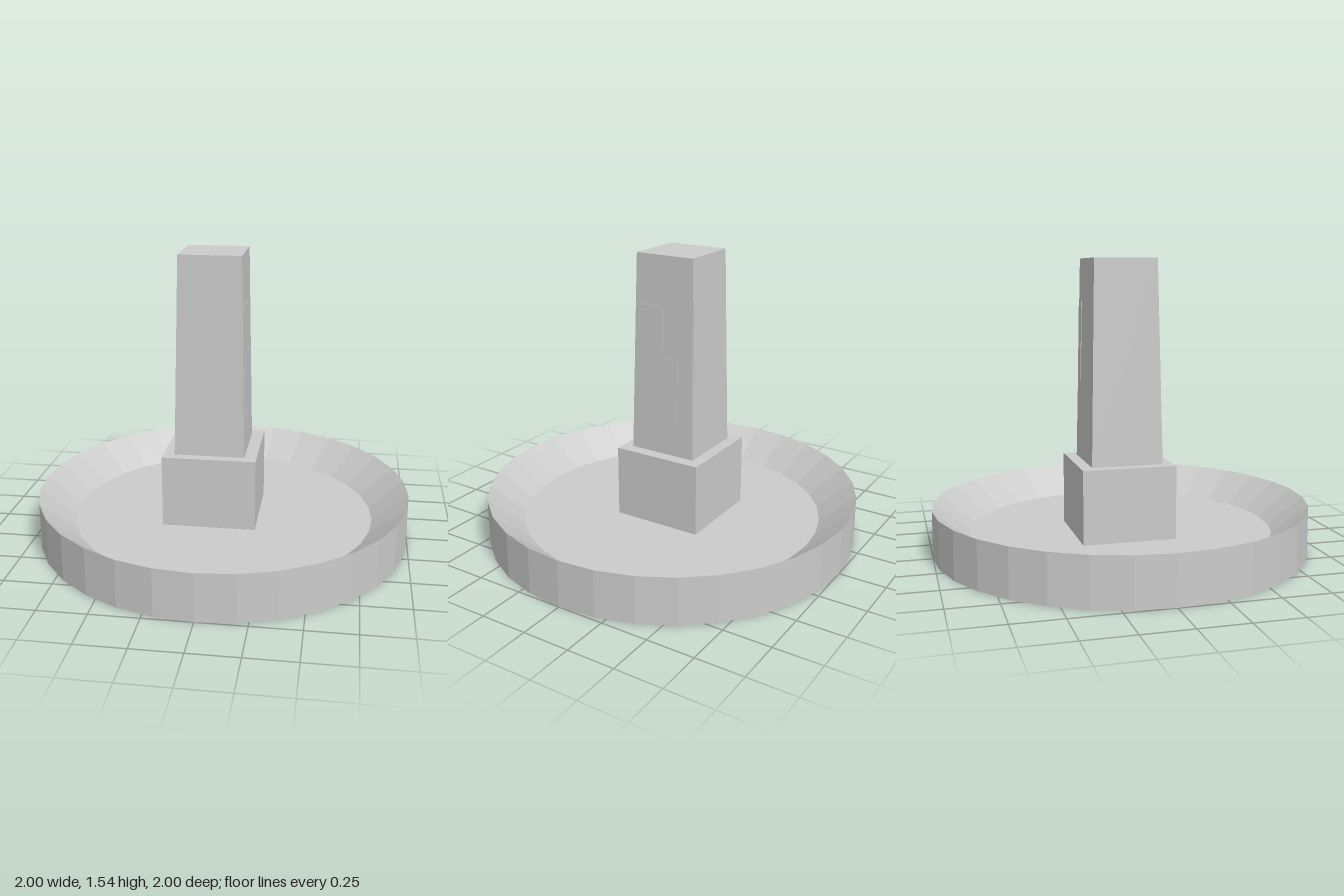
import * as THREE from 'three';

const material = new THREE.MeshStandardMaterial({ color: 0xcccccc, flatShading: true });

// Box between bounds whose top rectangle may differ from its bottom one: [x0, x1, z0, z1]
function taperedBox(name, y0, y1, bottom, top = bottom) {
  const geometry = new THREE.BoxGeometry(1, 1, 1);
  const p = geometry.attributes.position;
  for (let i = 0; i < p.count; i++) {
    const r = p.getY(i) > 0 ? top : bottom;
    p.setXYZ(i, p.getX(i) > 0 ? r[1] : r[0], p.getY(i) > 0 ? y1 : y0, p.getZ(i) > 0 ? r[3] : r[2]);
  }
  geometry.computeVertexNormals();
  const mesh = new THREE.Mesh(geometry, material);
  mesh.name = name;
  return mesh;
}

export function createModel() {
  const group = new THREE.Group();
  group.name = 'basinWithPillar';

  // Shallow round basin with a sharp rim and sloping inner wall
  const profile = [[0, 0], [1, 0], [1, 0.25], [0.81, 0.1], [0, 0.1]]
    .map(([r, y]) => new THREE.Vector2(r, y));
  const basin = new THREE.Mesh(new THREE.LatheGeometry(profile, 32), material);
  basin.name = 'basin';
  group.add(basin);

  // Square plinth and tapering pillar, slightly off centre
  group.add(taperedBox('plinth', 0.09, 0.485, [-0.3, 0.195, -0.27, 0.22]));
  const base = [-0.24, 0.13, -0.21, 0.165];
  const cap = [-0.215, 0.11, -0.19, 0.14];
  group.add(taperedBox('pillar', 0.485, 1.54, base, cap));

  // Very shallow raised patches that follow the slope of the pillar faces
  const at = (y, k) => THREE.MathUtils.mapLinear(y, 0.485, 1.54, base[k], cap[k]);
  const raise = 0.003;
  const sidePatches = [[1.0, 1.28, -0.02, 0.14], [0.75, 1.01, -0.11, 0.07], [0.62, 0.75, -0.11, 0.07]];
  for (const [y0, y1, z0, z1] of sidePatches) {
    const rect = (y) => [at(y, 1) - 0.02, at(y, 1) + raise, z0, z1];
    group.add(taperedBox('sidePatch', y0, y1, rect(y0), rect(y1)));
  }
  const backRect = (y) => [0.05, 0.11, at(y, 2) - raise, at(y, 2) + 0.02];
  group.add(taperedBox('backPatch', 0.9, 1.32, backRect(0.9), backRect(1.32)));

  return group;
}
